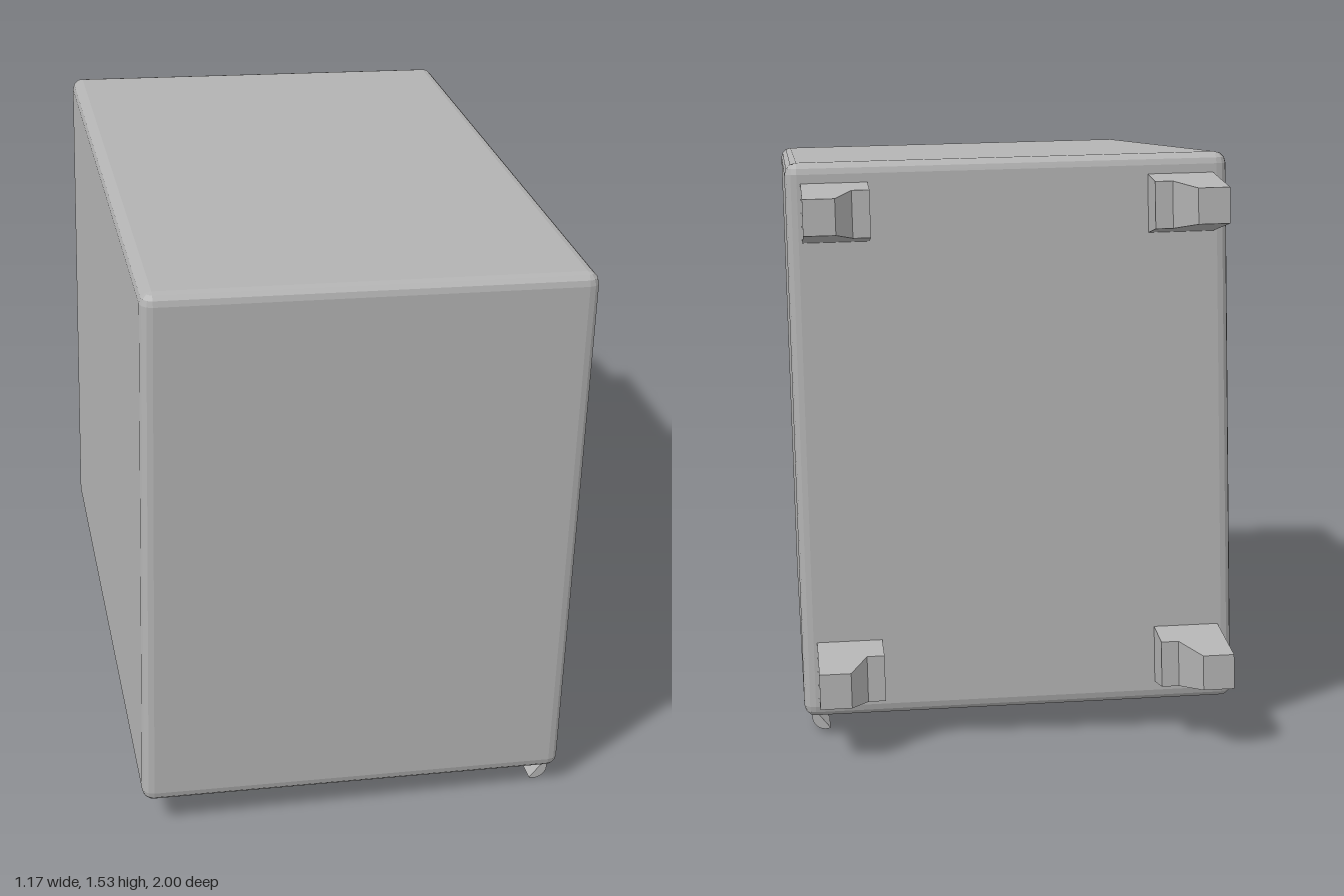
import * as THREE from 'three';

const HX = 0.569, HY = 0.7235, HZ = 0.895, ZC = 0.105; // casing half sizes and z centre
const BACK = ZC - HZ;

// Rounded rectangle in the x-z plane, same point count for every ring
function ring(hx, hz, r, y) {
  const pts = [], n = 3;
  [[1, 1], [-1, 1], [-1, -1], [1, -1]].forEach(([sx, sz], q) => {
    for (let i = 0; i <= n; i++) {
      const a = (q + i / n) * Math.PI / 2;
      pts.push([sx * (hx - r) + r * Math.cos(a), y, ZC + sz * (hz - r) + r * Math.sin(a)]);
    }
  });
  return pts;
}

// Skin a list of rings into one surface
function loft(rings) {
  const pos = [];
  for (let i = 0; i < rings.length - 1; i++) {
    const a = rings[i], b = rings[i + 1], n = a.length;
    for (let j = 0; j < n; j++) {
      const k = (j + 1) % n;
      pos.push(...a[j], ...b[j], ...a[k], ...a[k], ...b[j], ...b[k]);
    }
  }
  const g = new THREE.BufferGeometry();
  g.setAttribute('position', new THREE.Float32BufferAttribute(pos, 3));
  g.computeVertexNormals();
  return g;
}

// Hollow casing: cavity ceiling, cavity walls, lip, base frame, bevels, sides, top
function casingGeometry() {
  const ox = HX - 0.14, oz = HZ - 0.17, c = 0.03, R = 0.03;
  const rings = [
    ring(0, 0, 0, HY - 0.14),
    ring(ox - c, oz - c, 0.03, HY - 0.14),
    ring(ox - c, oz - c, 0.03, -HY + 0.06),
    ring(ox, oz, 0.03, -HY),
  ];
  const steps = 3;
  for (const s of [-1, 1]) {
    for (let i = 0; i <= steps; i++) {
      const a = (s < 0 ? i : steps - i) / steps * Math.PI / 2;
      const inset = R * (1 - Math.sin(a));
      rings.push(ring(HX - inset, HZ - inset, Math.max(R - inset, 0.001),
        s * (HY - R * (1 - Math.cos(a)))));
    }
  }
  rings.push(ring(0, 0, 0, HY));
  return loft(rings);
}

// Stepped back foot: plan outline extruded, then thinned towards its tip
function footGeometry(side) {
  const plan = [[0.53, -0.01], [0.36, -0.01], [0.36, 0.107], [0.405, 0.107], [0.45, 0.21], [0.53, 0.21]];
  const shape = new THREE.Shape(plan.map(([x, d]) => new THREE.Vector2(side * x, d)));
  const g = new THREE.ExtrudeGeometry(shape, { depth: 1, bevelEnabled: false });
  const p = g.attributes.position;
  for (let i = 0; i < p.count; i++) {
    const d = p.getY(i), h = p.getZ(i) - 0.5;
    p.setXYZ(i, p.getX(i), h * (0.15 - 0.06 * d / 0.21), BACK - d);
  }
  g.computeVertexNormals();
  return g;
}

// Hinge knuckle with a wedge tail running into the base
function hingeGeometry() {
  const s = new THREE.Shape();
  s.moveTo(0.40, -0.72);
  s.absarc(0.514, -0.743, 0.035, -Math.PI * 0.62, 0, false);
  s.lineTo(0.549, -0.715);
  s.closePath();
  return new THREE.ExtrudeGeometry(s, { depth: 0.105, bevelEnabled: false, curveSegments: 8 });
}

export function createModel() {
  const grey = new THREE.MeshStandardMaterial({ color: 0xb3b3b3 });
  grey.name = 'grey';
  const model = new THREE.Group();
  model.name = 'cabinet';

  // Whole cabinet leans slightly to its left
  const tilted = new THREE.Group();
  tilted.name = 'tiltedCabinet';
  tilted.position.y = 0.791;
  tilted.rotation.z = -0.025;
  model.add(tilted);

  const add = (name, geometry) => {
    const mesh = new THREE.Mesh(geometry, grey);
    mesh.name = name;
    tilted.add(mesh);
    return mesh;
  };

  add('casing', casingGeometry());

  // Four feet on the back
  for (const side of [-1, 1]) {
    for (const level of [-1, 1]) {
      const name = (level > 0 ? 'upper' : 'lower') + (side > 0 ? 'Left' : 'Right') + 'Foot';
      add(name, footGeometry(side)).position.y = level * 0.596;
    }
  }

  // Two hinges under the left edge
  add('frontHinge', hingeGeometry()).position.z = 0.857;
  add('backHinge', hingeGeometry()).position.z = -0.708;
  return model;
}
